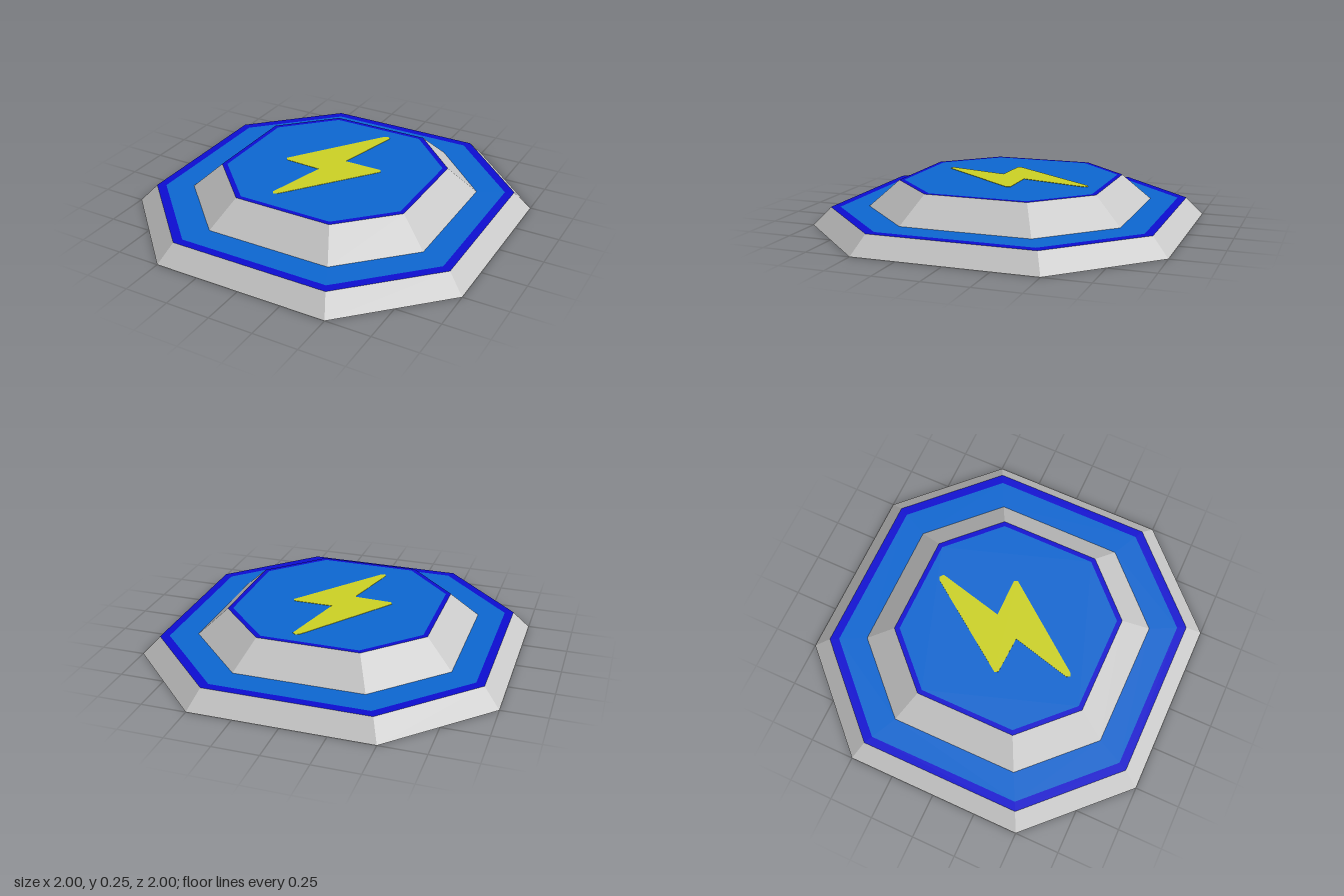
import * as THREE from 'three';

const mat = (name, color) => {
  const m = new THREE.MeshStandardMaterial({ color });
  m.name = name;
  return m;
};

// Octagon with half-width r and straight sides r long, counter-clockwise
const octagon = (r) => [
  [1, -0.5], [1, 0.5], [0.5, 1], [-0.5, 1], [-1, 0.5], [-1, -0.5], [-0.5, -1], [0.5, -1],
].map(([x, y]) => new THREE.Vector2(x * r, y * r));

// Flat octagon facing up, with an optional octagonal hole
function flatOctagon(r, y, hole = 0) {
  const shape = new THREE.Shape(octagon(r));
  if (hole) shape.holes.push(new THREE.Path(octagon(hole).reverse()));
  return new THREE.ShapeGeometry(shape).rotateX(-Math.PI / 2).translate(0, y, 0);
}

// Sloping band between a lower and an upper octagon, one flat facet per side
function bevel(r0, y0, r1, y1) {
  const low = octagon(r0), high = octagon(r1), pos = [];
  for (let i = 0; i < 8; i++) {
    const j = (i + 1) % 8;
    const a = [low[i].x, y0, -low[i].y], b = [low[j].x, y0, -low[j].y];
    const c = [high[j].x, y1, -high[j].y], d = [high[i].x, y1, -high[i].y];
    pos.push(...a, ...b, ...c, ...a, ...c, ...d);
  }
  const g = new THREE.BufferGeometry();
  g.setAttribute('position', new THREE.Float32BufferAttribute(pos, 3));
  g.computeVertexNormals();
  return g;
}

export function createModel() {
  const model = new THREE.Group();
  model.name = 'boostPad';
  const grey = mat('light grey', 0xc8c8c8);
  const blue = mat('blue', 0x0d66d0);
  const darkBlue = mat('deep blue', 0x0d0dd0);
  const yellow = mat('yellow', 0xcbd024);
  const add = (name, geometry, material, parent = model) => {
    const mesh = new THREE.Mesh(geometry, material);
    mesh.name = name;
    parent.add(mesh);
  };

  // Two stacked tiers: grey bevel, deep blue rim, blue plate
  const tiers = [
    { name: 'lowerTier', r0: 1, y0: 0, r1: 0.91, y1: 0.1, inner: 0.863, hole: 0.72 },
    { name: 'upperTier', r0: 0.72, y0: 0.1, r1: 0.568, y1: 0.245, inner: 0.542, hole: 0 },
  ];
  for (const t of tiers) {
    const tier = new THREE.Group();
    tier.name = t.name;
    model.add(tier);
    add('bevel', bevel(t.r0, t.y0, t.r1, t.y1), grey, tier);
    add('rim', flatOctagon(t.r1, t.y1, t.inner), darkBlue, tier);
    add('plate', flatOctagon(t.inner, t.y1, t.hole), blue, tier);
  }

  // Underside
  add('underside', flatOctagon(1, 0).rotateX(Math.PI), blue);

  // Lightning bolt with blunted tips, as (x, z) seen from above
  const bolt = [
    [0.08, -0.465], [0.1, -0.475], [0.12, -0.46], [0.115, -0.435], [0.028, -0.08],
    [0.25, -0.08], [0.26, -0.06], [-0.115, 0.425], [-0.135, 0.435], [-0.147, 0.415],
    [-0.06, 0.075], [-0.275, 0.065], [-0.285, 0.045],
  ].map(([x, z]) => new THREE.Vector2(x, -z));
  add('lightningBolt', new THREE.ExtrudeGeometry(new THREE.Shape(bolt), { depth: 0.002, bevelEnabled: false })
    .rotateX(-Math.PI / 2).translate(0, 0.245, 0), yellow);

  return model;
}
